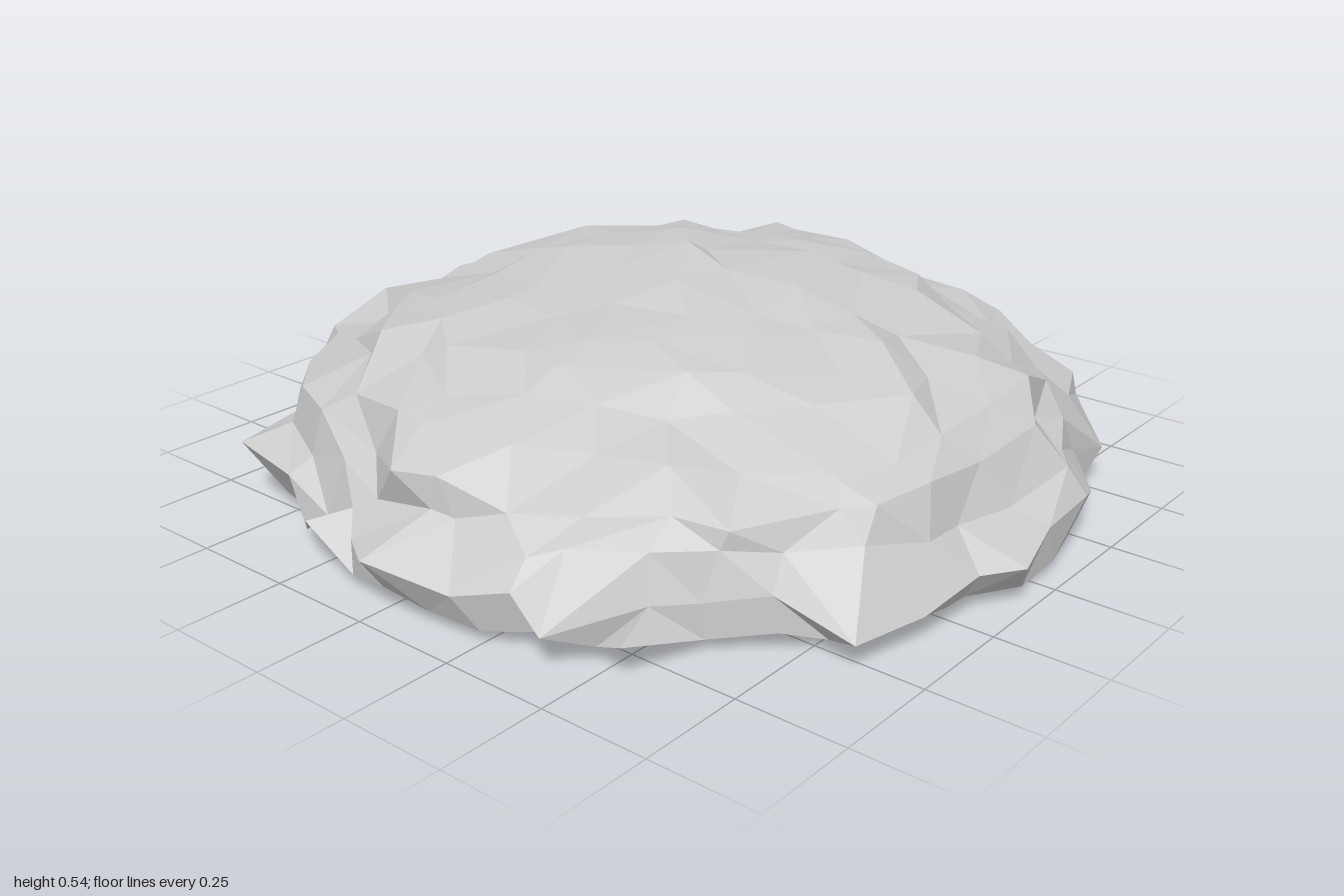
import * as THREE from 'three';

const RINGS = 10;   // rings from crown to rim
const SECTORS = 5;  // ring k carries SECTORS * k points

// Outline radius every 15 degrees, starting at +x and turning towards +z
const OUTLINE = [0.94, 0.98, 0.97, 0.97, 0.97, 0.97, 0.97, 0.95, 0.97, 0.92, 0.97, 0.94,
  0.94, 0.94, 0.92, 0.97, 0.96, 0.96, 0.97, 0.97, 0.96, 0.98, 0.98, 0.97];

// Prominent corners that jut out of, or cut into, the dome
const CRAGS = [
  // left end
  [0.98, 0.19, -0.22], [0.96, 0.1, -0.02], [0.98, 0.19, 0.17], [0.97, 0.04, 0.18],
  [0.93, 0.1, -0.38], [0.87, 0.12, -0.52], [0.78, 0.37, -0.3], [0.68, 0.12, -0.74],
  // right end
  [-0.99, 0.13, 0], [-0.94, 0.1, 0.2], [-0.92, 0.08, 0.42], [-0.93, 0.12, -0.24],
  [-0.85, 0.21, 0.06], [-0.85, 0.08, 0.56], [-0.57, 0.12, 0.7],
  // back
  [-0.08, 0.08, -1], [-0.22, 0.09, -0.95], [0.13, 0.09, -0.95], [0.14, 0.24, -0.93],
  [-0.8, 0.15, -0.62], [-0.68, 0.12, -0.7], [-0.4, 0.15, -0.88],
  // front
  [-0.13, 0.1, 1], [-0.03, 0, 0.94], [-0.36, 0.06, 0.91], [-0.54, 0.06, 0.87],
  // crown
  [0.05, 0.54, -0.02],
];

function outlineRadius(angle) {
  const t = (angle / (Math.PI * 2)) * OUTLINE.length;
  const i = Math.floor(t);
  return THREE.MathUtils.lerp(OUTLINE[i % 24], OUTLINE[(i + 1) % 24], t - i);
}

// Small seeded generator returning -1..1
function makeNoise(seed) {
  return () => {
    seed = (seed * 16807) % 2147483647;
    return (seed / 2147483647) * 2 - 1;
  };
}

function createShellGeometry() {
  const noise = makeNoise(4217);
  const points = [new THREE.Vector3(0, 0.52, 0)];
  const starts = [0];

  // Concentric rings on a flattened dome, each point nudged
  for (let k = 1; k <= RINGS; k++) {
    starts.push(points.length);
    const count = SECTORS * k;
    const rim = k === RINGS;
    const tilt = (k / RINGS) * Math.PI / 2;
    const height = rim ? 0 : 0.475 * Math.cos(tilt) ** 0.95;
    const spread = rim ? 0.02 : 0.046;
    const lift = rim ? 0.012 : 0.012 + 0.025 * k / RINGS;
    for (let j = 0; j < count; j++) {
      const angle = (j / count) * Math.PI * 2;
      const blend = THREE.MathUtils.lerp(0.96, outlineRadius(angle), k / RINGS);
      const radius = Math.sin(tilt) * blend * (rim ? 0.975 : 0.98);
      const x = Math.cos(angle) * radius + noise() * spread;
      const y = 0.035 + height + noise() * lift;
      const z = Math.sin(angle) * radius + noise() * spread;
      points.push(new THREE.Vector3(
        THREE.MathUtils.clamp(x, -0.98, 0.97), y, THREE.MathUtils.clamp(z, -0.98, 0.98)
      ));
    }
  }

  // Pull the nearest free point out to each crag
  const free = new Set(points);
  for (const crag of CRAGS) {
    const target = new THREE.Vector3(...crag);
    const nearest = [...free].reduce((a, b) =>
      (b.distanceToSquared(target) < a.distanceToSquared(target) ? b : a));
    nearest.copy(target);
    free.delete(nearest);
  }

  // Triangles between each ring and the next, sector by sector
  const index = [];
  const point = (k, j) => (k === 0 ? 0 : starts[k] + (j % (SECTORS * k)));
  for (let k = 1; k <= RINGS; k++) {
    for (let s = 0; s < SECTORS; s++) {
      for (let i = 0; i < k; i++) {
        const outer = s * k + i;
        const inner = s * (k - 1) + i;
        index.push(point(k - 1, inner), point(k, outer + 1), point(k, outer));
        if (i < k - 1) {
          index.push(point(k - 1, inner), point(k - 1, inner + 1), point(k, outer + 1));
        }
      }
    }
  }

  const geometry = new THREE.BufferGeometry().setFromPoints(points);
  geometry.setIndex(index);
  const faceted = geometry.toNonIndexed();
  faceted.computeVertexNormals();
  return faceted;
}

export function createModel() {
  const group = new THREE.Group();
  group.name = 'rockDome';
  // Open-bottomed, rough rock shell
  const shell = new THREE.Mesh(createShellGeometry(), new THREE.MeshStandardMaterial({
    color: 0xcccccc, flatShading: true, side: THREE.DoubleSide,
  }));
  shell.name = 'rockShell';
  group.add(shell);
  return group;
}
